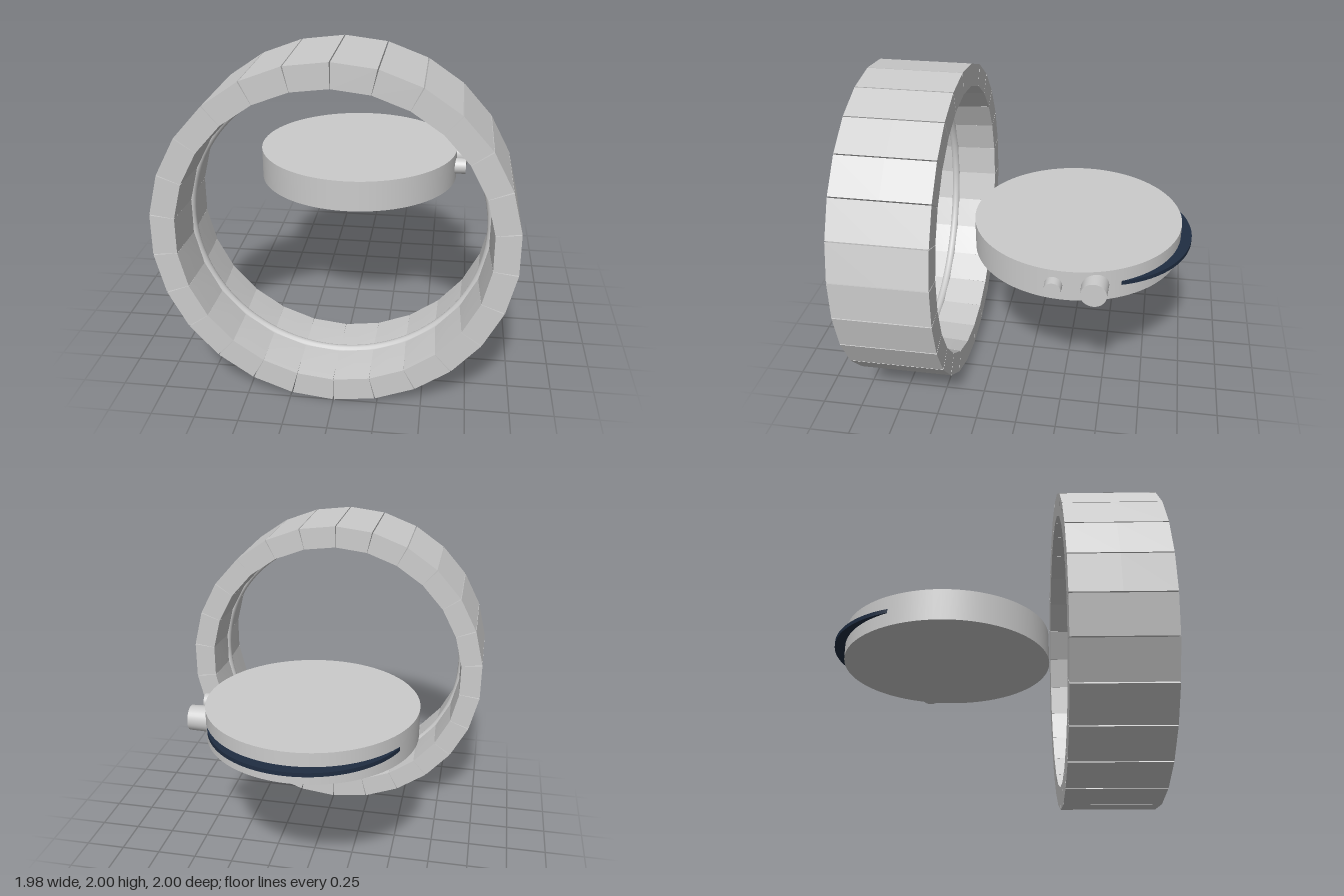
import * as THREE from 'three';

const CENTER_Y = 1;

export function createModel() {
  const model = new THREE.Group();
  model.name = 'watch';
  const grey = new THREE.MeshStandardMaterial({ color: 0xcccccc });
  const navy = new THREE.MeshStandardMaterial({ color: 0x1f2d42 });
  const add = (name, geometry, material, parent, x = 0, y = CENTER_Y, z = 0) => {
    const mesh = new THREE.Mesh(geometry, material);
    mesh.name = name;
    mesh.position.set(x, y, z);
    parent.add(mesh);
    return mesh;
  };

  // Bracelet: wedge-shaped links, slightly thicker along the middle of the inside
  const LINKS = 26, OUTER = 0.991, INNER = 0.855, DEPTH = 0.58, BAND_Z = 0.71;
  const step = (Math.PI * 2) / LINKS;
  const link = new THREE.BoxGeometry(0.234, OUTER - INNER, DEPTH, 1, 1, 2);
  link.translate(0, (OUTER + INNER) / 2, 0);
  const p = link.attributes.position;
  for (let i = 0; i < p.count; i++) {
    if (p.getY(i) > 0.9) continue;
    p.setX(i, p.getX(i) * 0.88);
    if (Math.abs(p.getZ(i)) < 0.01) p.setY(i, INNER - 0.015);
  }
  link.computeVertexNormals();

  const bracelet = new THREE.Group();
  bracelet.name = 'bracelet';
  bracelet.position.set(0, CENTER_Y, BAND_Z);
  model.add(bracelet);
  for (let i = 0; i < LINKS; i++) {
    add('braceletLink', link, grey, bracelet, 0, 0, 0).rotation.z = (i + 0.5) * step;
  }

  // Cord running through the inside of the bracelet
  add('innerRing', new THREE.TorusGeometry(0.853, 0.028, 12, 96), grey, bracelet, 0, 0, 0);

  // Case: plain flat disc
  const CASE_Z = -0.285;
  add('case', new THREE.CylinderGeometry(0.648, 0.648, 0.196, 96), grey, model, 0, CENTER_Y, CASE_Z);

  // Crescent blade at the back of the case
  const tipX = 0.57, tipZ = 0.6, cz = 0.394, r = 0.606;
  const a = Math.atan2(tipZ - cz, tipX);
  const b = Math.atan2(tipZ + CASE_Z, tipX);
  const crescent = new THREE.Shape();
  crescent.absarc(0, cz, r, a, Math.PI - a, false);
  crescent.absarc(0, -CASE_Z, 0.64, Math.PI - b, b, true);
  const blade = new THREE.ExtrudeGeometry(crescent, { depth: 0.025, bevelEnabled: false, curveSegments: 40 });
  blade.rotateX(-Math.PI / 2);
  add('crescent', blade, navy, model, 0, CENTER_Y - 0.0125, 0);

  // Crown and pusher on the side of the case
  const button = (name, radius, x0, x1, z) => {
    const c = radius * 0.1;
    const profile = [[0, x0], [radius, x0], [radius * 0.96, x1 - c], [radius * 0.94, x1], [0, x1]];
    const geometry = new THREE.CylinderGeometry(radius * 0.95, radius, profile[3][1] - x0, 32);
    geometry.rotateZ(-Math.PI / 2);
    add(name, geometry, grey, model, (x0 + x1) / 2, CENTER_Y, z);
  };
  button('crown', 0.08, 0.6, 0.72, -0.45);
  button('pusher', 0.053, 0.62, 0.708, -0.213);

  return model;
}
